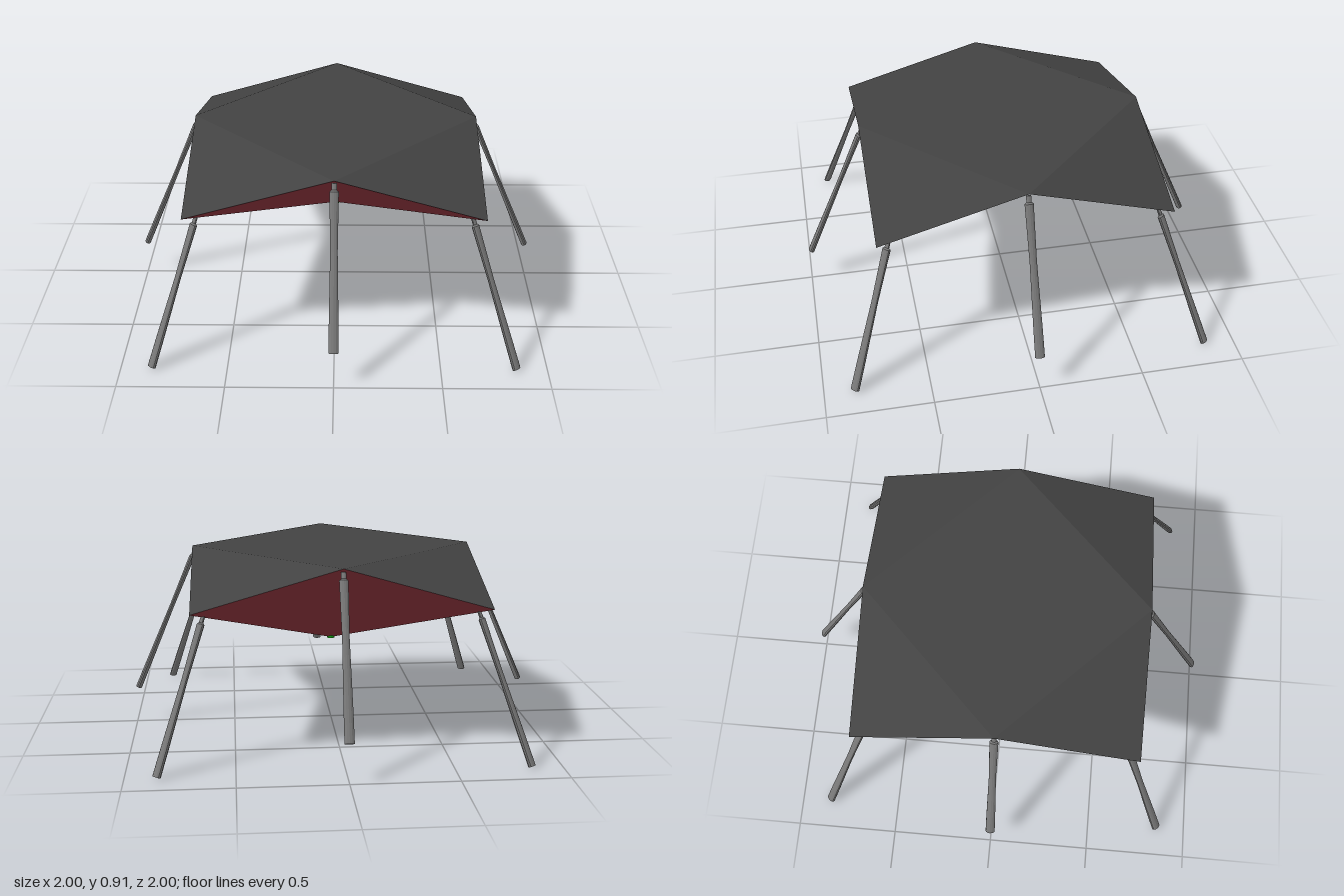
import * as THREE from 'three';

const H = 0.695;          // half width of the canopy
const RIM_MID = 0.91;     // height of the edge midpoints
const RIM_CORNER = 0.71;  // height of the corners
const TIP = 0.425;        // lowest point of the underside

const mat = (color) => new THREE.MeshStandardMaterial({ color, flatShading: true });

function facets(name, points, material) {
  const g = new THREE.BufferGeometry();
  g.setAttribute('position', new THREE.Float32BufferAttribute(points.flat(), 3));
  g.computeVertexNormals();
  const mesh = new THREE.Mesh(g, material);
  mesh.name = name;
  return mesh;
}

export function createModel() {
  const model = new THREE.Group();
  model.name = 'canopyWalker';

  // rim points run round the square: midpoint, corner, midpoint, ...
  const rim = [];
  for (let i = 0; i < 8; i++) {
    const a = (i * Math.PI) / 4;
    const corner = i % 2 === 1;
    const r = corner ? H * Math.SQRT2 : H;
    rim.push([Math.sin(a) * r, corner ? RIM_CORNER : RIM_MID, Math.cos(a) * r]);
  }

  // upper shell: flat diamond and four drooping corners
  const top = [];
  for (let i = 0; i < 8; i += 2) {
    const a = rim[i], c = rim[i + 1], b = rim[(i + 2) % 8];
    top.push([0, RIM_MID, 0], a, b, a, c, b);
  }
  model.add(facets('canopyTop', top, mat(0x424242)));

  // lining: eight folds falling to the central tip
  const under = [];
  for (let i = 0; i < 8; i++) under.push([0, TIP, 0], rim[(i + 1) % 8], rim[i]);
  model.add(facets('canopyUnderside', under, mat(0x8b323b)));

  // small button at the tip
  const button = new THREE.Mesh(new THREE.CylinderGeometry(0.02, 0.02, 0.014, 12), mat(0x14a014));
  button.name = 'tipButton';
  button.position.y = TIP + 0.005;
  model.add(button);

  // legs: slim pin at the top, waisted shaft, flattened in the radial direction
  const legMat = mat(0x787878);
  const addLeg = (name, i, rTop, yTop, rFoot, yFoot) => {
    const dr = rFoot - rTop, dy = yTop - yFoot, L = Math.hypot(dr, dy);
    const profile = [[0, 1], [0.023, 1], [0.022, 0.82], [0.017, 0.4], [0.021, 0.05],
      [0.012, 0.04], [0.012, 0], [0, 0]].map(([r, t]) => new THREE.Vector2(r, -t * L));
    const g = new THREE.LatheGeometry(profile, 12);
    g.scale(1, 1, 0.65);
    const leg = new THREE.Mesh(g, legMat);
    leg.position.set(0, yTop, rTop);
    leg.rotation.x = -Math.atan2(dr, dy);
    const pivot = new THREE.Group();
    pivot.name = name;
    pivot.rotation.y = (i * Math.PI) / 4;
    pivot.add(leg);
    model.add(pivot);
  };
  for (let i = 0; i < 8; i++) {
    if (i % 2) addLeg('cornerLeg', i, 0.635 * Math.SQRT2, 0.69, 0.855 * Math.SQRT2, 0.006);
    else addLeg('sideLeg', i, 0.682, 0.893, 0.986, 0.183);
  }
  return model;
}
